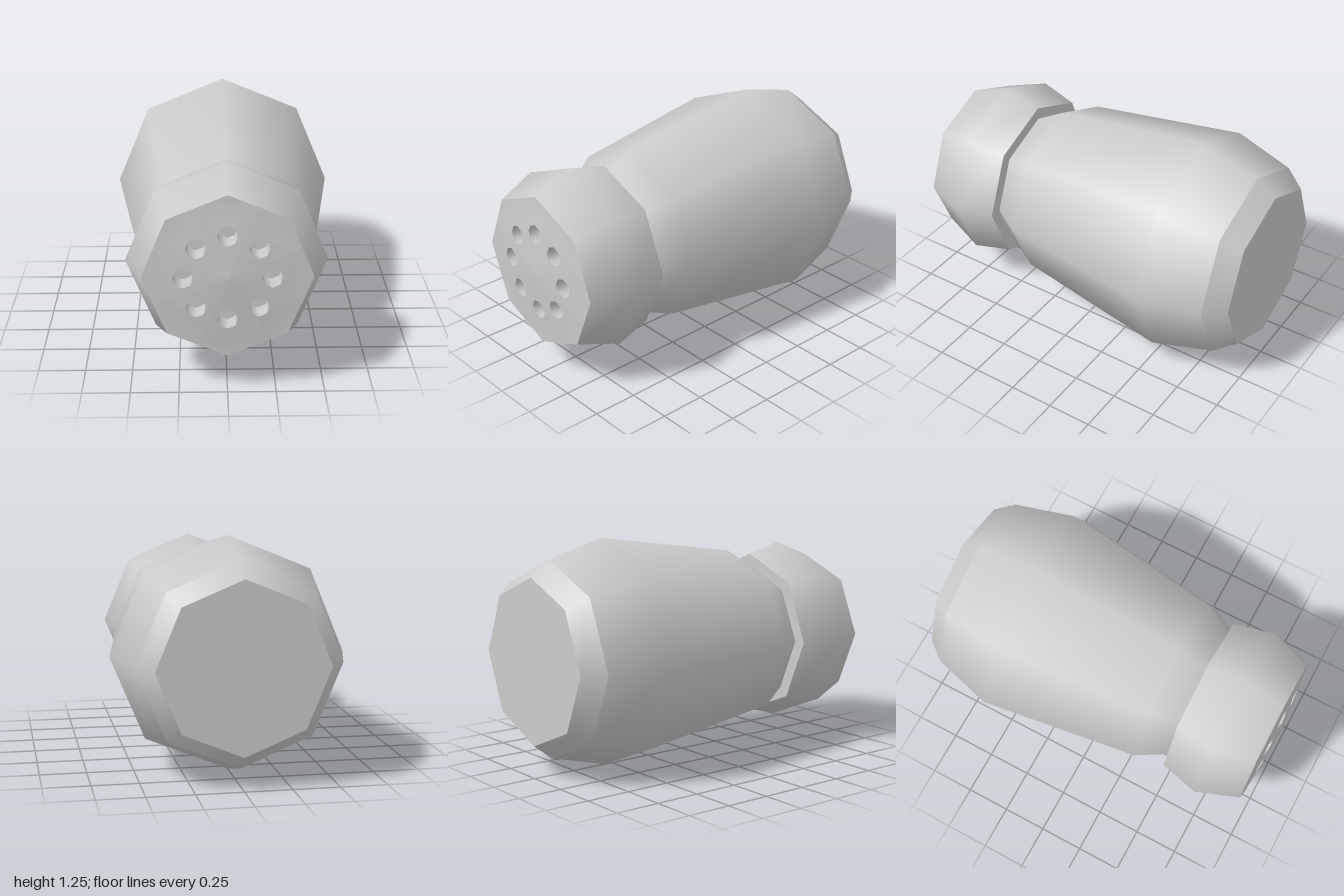
import * as THREE from 'three';

const SIDES = 8;
const AXIS_Y = 0.627;           // height of the lying shaker's axis
const CAP_R = 0.435, CAP_Z = 0.965, TIP_Z = 1;
const HOLE_RING = 0.225, HOLE_R = 0.053, HOLE_DEPTH = 0.1;
const HALF = Math.PI / SIDES;

const material = new THREE.MeshStandardMaterial({ color: 0xcccccc });
const insideMaterial = new THREE.MeshStandardMaterial({ color: 0xcccccc, side: THREE.BackSide });

function addMesh(parent, name, geometry, mat = material) {
  const mesh = new THREE.Mesh(geometry, mat);
  mesh.name = name;
  parent.add(mesh);
  return mesh;
}

// Eight-sided turned part along z, from [radius, z] pairs
function turned(profile) {
  const points = profile.map(([r, z]) => new THREE.Vector2(r, z));
  return new THREE.LatheGeometry(points, SIDES).rotateX(Math.PI / 2);
}

// Height of the shallow pyramid face; u runs toward a corner of the octagon
function faceZ(u, v) {
  const r = Math.abs(u) + Math.abs(v) * Math.tan(HALF);
  return TIP_Z - (TIP_Z - CAP_Z) * r / CAP_R;
}

// One eighth of the pierced cap face, centred on a corner
function faceSector() {
  const mid = CAP_R * Math.cos(HALF);
  const mx = mid * Math.cos(HALF), my = mid * Math.sin(HALF);
  const shape = new THREE.Shape();
  shape.moveTo(0, 0);
  shape.lineTo(mx, -my);
  shape.lineTo(CAP_R, 0);
  shape.lineTo(mx, my);
  shape.closePath();
  const ring = [];
  for (let i = 0; i < SIDES; i++) {
    const a = -i * 2 * HALF;
    ring.push(new THREE.Vector2(HOLE_RING + HOLE_R * Math.cos(a), HOLE_R * Math.sin(a)));
  }
  shape.holes.push(new THREE.Path(ring));
  const geometry = new THREE.ShapeGeometry(shape);
  const p = geometry.attributes.position;
  for (let i = 0; i < p.count; i++) p.setZ(i, faceZ(p.getX(i), p.getY(i)));
  geometry.computeVertexNormals();
  return geometry;
}

// Wall of a pour hole, its rim following the sloped face
function holeWall() {
  const geometry = new THREE.CylinderGeometry(HOLE_R, HOLE_R, HOLE_DEPTH, SIDES, 1, true);
  geometry.rotateX(Math.PI / 2).translate(HOLE_RING, 0, 0);
  const p = geometry.attributes.position;
  for (let i = 0; i < p.count; i++) {
    const rim = faceZ(p.getX(i), p.getY(i));
    p.setZ(i, p.getZ(i) > 0 ? rim : CAP_Z - HOLE_DEPTH);
  }
  return geometry;
}

export function createModel() {
  const model = new THREE.Group();
  model.name = 'shaker';
  const shaker = new THREE.Group();
  shaker.name = 'lyingShaker';
  shaker.position.y = AXIS_Y;
  model.add(shaker);

  // Bottle: base, chamfer and tapering body with neck
  const base = new THREE.CircleGeometry(0.45, SIDES).rotateY(Math.PI).translate(0, 0, -1);
  addMesh(shaker, 'base', base);
  addMesh(shaker, 'baseChamfer', turned([[0.45, -1], [0.535, -0.89]]));
  addMesh(shaker, 'body', turned([[0.535, -0.89], [0.627, -0.55], [0.5, 0.34], [0.4, 0.51]]));

  // Cap: underside ledge, bulging side and pierced face
  const cap = new THREE.Group();
  cap.name = 'cap';
  shaker.add(cap);
  addMesh(cap, 'capUnderside', turned([[0.38, 0.51], [0.47, 0.51]]));
  addMesh(cap, 'capSide', turned([[0.47, 0.51], [0.525, 0.73], [CAP_R, CAP_Z]]));

  const sector = faceSector();
  const wall = holeWall();
  const floor = new THREE.CircleGeometry(HOLE_R, SIDES)
    .translate(HOLE_RING, 0, CAP_Z - HOLE_DEPTH);
  for (let i = 0; i < SIDES; i++) {
    const part = new THREE.Group();
    part.name = 'capFaceSector' + (i + 1);
    part.rotation.z = i * 2 * HALF;
    addMesh(part, 'capFace', sector);
    addMesh(part, 'holeWall', wall, insideMaterial);
    addMesh(part, 'holeFloor', floor);
    cap.add(part);
  }
  return model;
}
